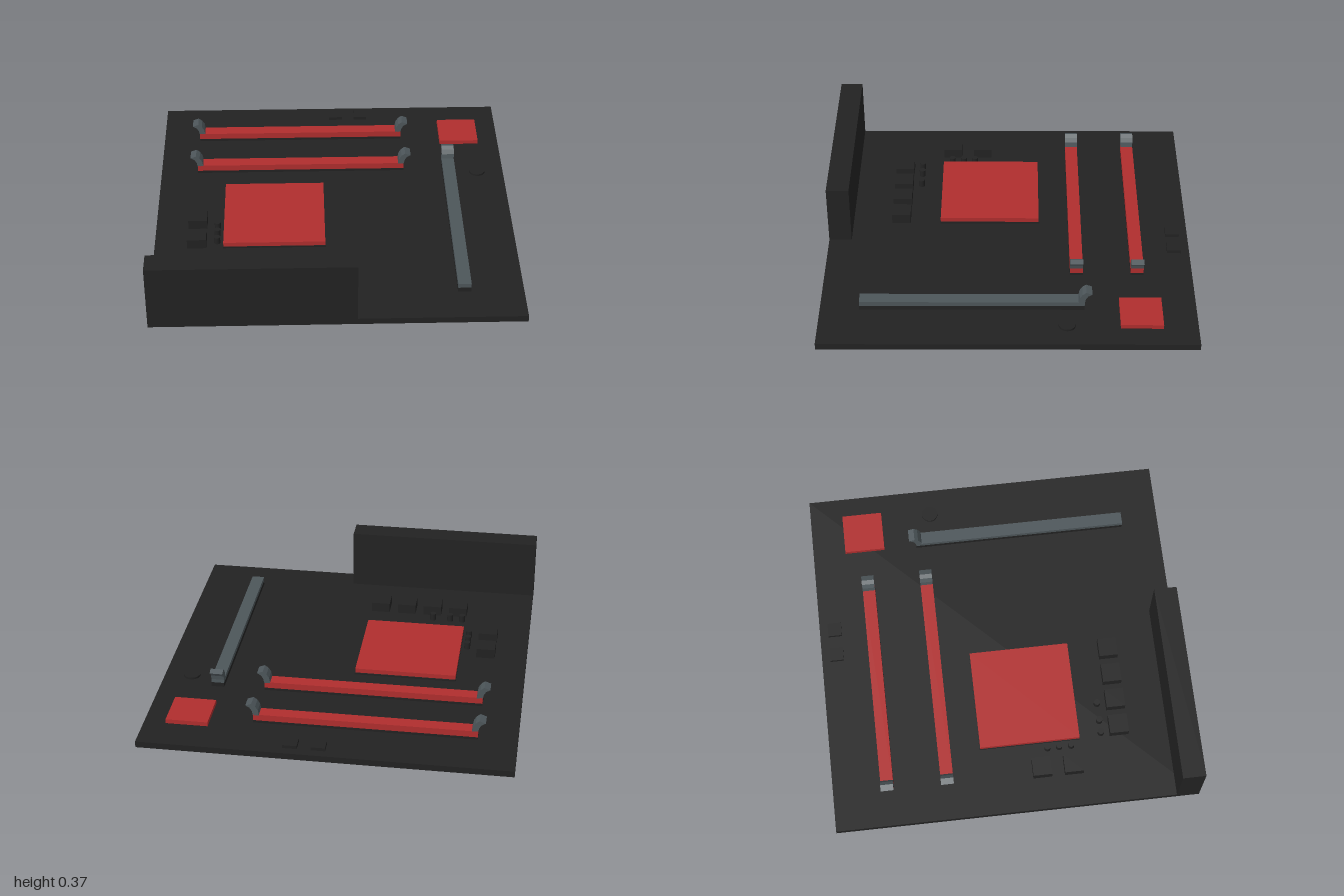
import * as THREE from 'three';

const material = (name, color) => {
  const m = new THREE.MeshStandardMaterial({ color });
  m.name = name;
  return m;
};

export function createModel() {
  const black = material('black', 0x222222);
  const red = material('red', 0xb02e2e);
  const grey = material('slate grey', 0x4d565a);
  const model = new THREE.Group();
  model.name = 'circuitBoard';

  const add = (parent, name, geometry, mat) => {
    const mesh = new THREE.Mesh(geometry, mat);
    mesh.name = name;
    parent.add(mesh);
    return mesh;
  };
  // Box given by its limits along each axis
  const box = (parent, name, mat, [x0, x1], [y0, y1], [z0, z1]) => {
    const mesh = add(parent, name, new THREE.BoxGeometry(x1 - x0, y1 - y0, z1 - z0), mat);
    mesh.position.set((x0 + x1) / 2, (y0 + y1) / 2, (z0 + z1) / 2);
    return mesh;
  };
  const disc = (name, x, z, radius, top) => {
    const h = top - 0.03;
    add(model, name, new THREE.CylinderGeometry(radius, radius, h, 24), black).position.set(x, 0.03 + h / 2, z);
  };

  // Board and rear connector block
  box(model, 'board', black, [-0.985, 0.985], [0, 0.035], [-1, 1]);
  box(model, 'connectorBlock', black, [-0.985, 0.1], [0.03, 0.372], [0.875, 1]);

  // Curved retaining latch, leaning outward along +x
  const latchShape = new THREE.Shape([
    [0, 0.08], [0.033, 0.08], [0.038, 0.105], [0.05, 0.125], [0.072, 0.138],
    [0.04, 0.15], [0.02, 0.135], [0.006, 0.112],
  ].map(([x, y]) => new THREE.Vector2(x, y)));
  const latchGeometry = new THREE.ExtrudeGeometry(latchShape, { depth: 0.07, bevelEnabled: false });
  latchGeometry.translate(0, 0, -0.035);

  // Slot running along its own x axis, with a latch at one or both ends
  const slot = (name, mat, length, split, bothEnds) => {
    const group = new THREE.Group();
    group.name = name;
    const half = length / 2;
    box(group, 'slotBase', black, [-half, half], [0.03, split], [-0.035, 0.035]);
    box(group, 'slotBody', mat, [-half, half], [split, 0.085], [-0.035, 0.035]);
    for (const side of bothEnds ? [1, -1] : [1]) {
      const latch = add(group, 'latch', latchGeometry, grey);
      latch.position.x = side * (half - 0.033);
      if (side < 0) latch.rotation.y = Math.PI;
    }
    model.add(group);
    return group;
  };
  for (const z of [-0.7, -0.37]) slot('memorySlot', red, 1.188, 0.05, true).position.set(-0.182, 0, z);
  const expansion = slot('expansionSlot', grey, 1.195, 0.06, false);
  expansion.position.set(0.67, 0, 0.192);
  expansion.rotation.y = Math.PI / 2;

  // Processor and chipset, each a red plate on a black base
  box(model, 'processorBase', black, [-0.612, -0.052], [0.03, 0.045], [-0.175, 0.385]);
  box(model, 'processorPlate', red, [-0.61, -0.055], [0.045, 0.07], [-0.17, 0.383]);
  box(model, 'chipsetBase', black, [0.645, 0.86], [0.03, 0.041], [-0.81, -0.595]);
  box(model, 'chipsetPlate', red, [0.64, 0.865], [0.041, 0.065], [-0.815, -0.59]);

  // Chokes and small chips
  const chip = (name, x, z, size, top) =>
    box(model, name, black, [x - size / 2, x + size / 2], [0.03, top], [z - size / 2, z + size / 2]);
  for (const x of [-0.56, -0.41, -0.26, -0.107]) chip('choke', x, 0.605, 0.104, 0.09);
  for (const z of [0.155, 0.33]) chip('choke', -0.755, z, 0.104, 0.09);
  for (const x of [0.032, 0.18]) chip('smallChip', x, -0.915, 0.076, 0.053);

  // Capacitors and battery
  for (const x of [-0.59, -0.52, -0.42]) disc('capacitor', x, 0.505, 0.017, 0.075);
  for (const z of [0.2, 0.265, 0.332]) disc('capacitor', -0.645, z, 0.017, 0.075);
  disc('battery', 0.835, -0.31, 0.045, 0.046);

  return model;
}
